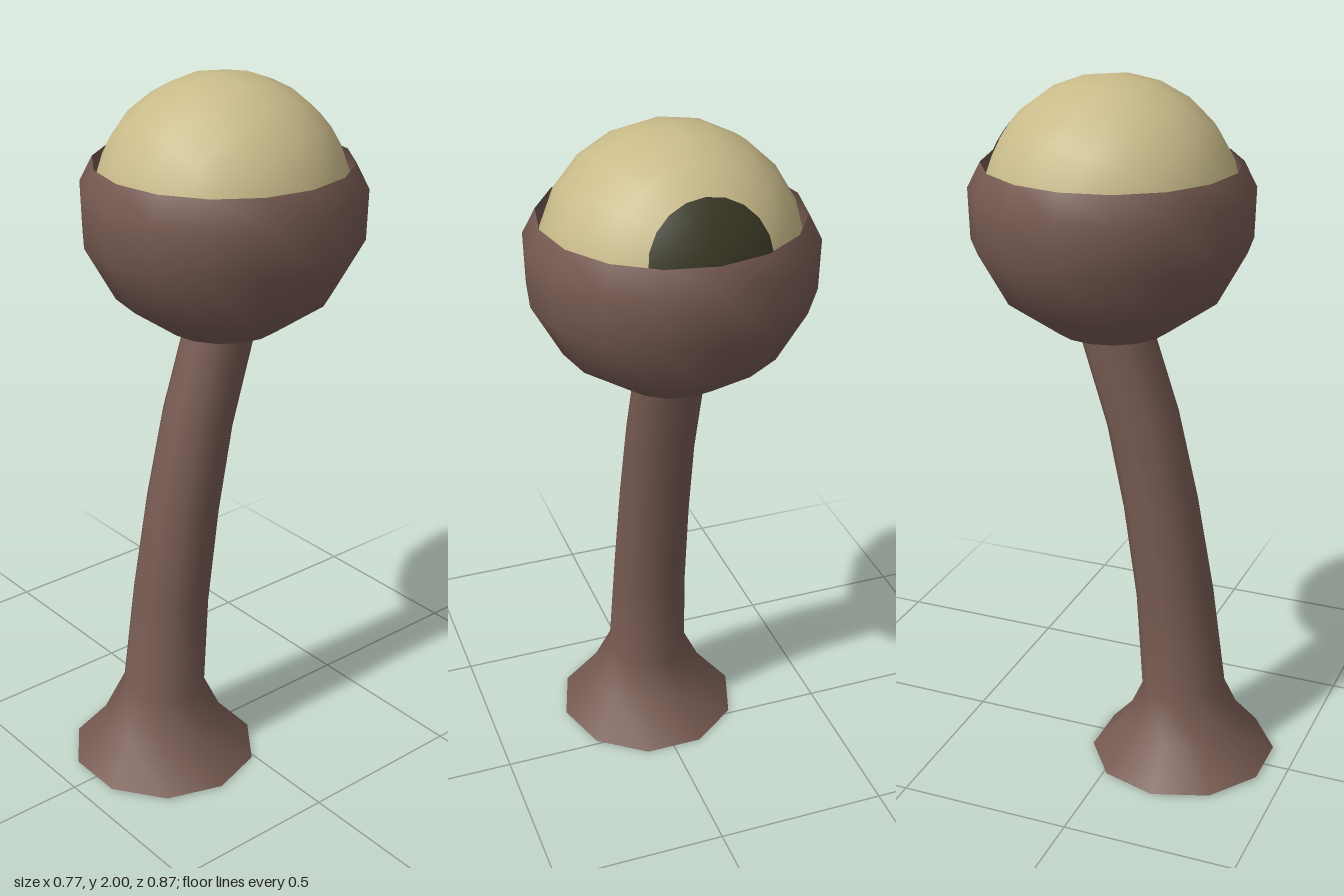
import * as THREE from 'three';
import { mergeVertices } from 'three/addons/utils/BufferGeometryUtils.js';

const skin = new THREE.MeshStandardMaterial({ color: 0x765a51, side: THREE.DoubleSide });
skin.name = 'brownSkin';
const eyeTan = new THREE.MeshStandardMaterial({ color: 0xc9bb8a });
eyeTan.name = 'paleTan';
const dark = new THREE.MeshStandardMaterial({ color: 0x383724 });
dark.name = 'darkPupil';

const HEAD_Z = -0.053;

function part(name, geometry, material) {
  const mesh = new THREE.Mesh(geometry, material);
  mesh.name = name;
  return mesh;
}

// Bent, flared, hollow stalk: each ring is [height, centre z, radius]
function stalkGeometry() {
  const rings = [
    [0.005, 0.17, 0.27], [0.11, 0.174, 0.178], [0.23, 0.168, 0.121], [0.52, 0.138, 0.111],
    [0.8, 0.092, 0.105], [1.05, 0.037, 0.1], [1.3, -0.043, 0.097], [1.37, -0.06, 0.096],
  ];
  const sides = 10;
  const g = new THREE.LatheGeometry(rings.map(([y, , r]) => new THREE.Vector2(r, y)), sides, Math.PI / sides);
  const p = g.attributes.position;
  for (let i = 0; i < p.count; i++) {
    const k = i % rings.length;
    const a = rings[Math.max(k - 1, 0)], b = rings[Math.min(k + 1, rings.length - 1)];
    const lean = k === 0 ? -0.015 : (b[1] - a[1]) / (b[0] - a[0]);
    // tilt the ring square to the bend, then shift it along z
    p.setY(i, p.getY(i) - lean * p.getZ(i));
    p.setZ(i, p.getZ(i) + rings[k][1]);
  }
  g.deleteAttribute('uv');
  g.deleteAttribute('normal');
  const merged = mergeVertices(g, 1e-4);
  merged.computeVertexNormals();
  return merged;
}

export function createModel() {
  const model = new THREE.Group();
  model.name = 'eyeStalk';

  model.add(part('stalk', stalkGeometry(), skin));

  // Eyelid cup, open at the top and around the stalk
  const profile = [[0.16, 1.31], [0.3, 1.41], [0.382, 1.56], [0.386, 1.7], [0.35, 1.77]];
  const cup = part('eyelidCup', new THREE.LatheGeometry(profile.map(([r, y]) => new THREE.Vector2(r, y)), 16), skin);
  cup.position.z = HEAD_Z;
  model.add(cup);

  // Eyeball with its pole on the pupil, looking back and slightly up
  const eye = new THREE.Group();
  eye.name = 'eye';
  const split = THREE.MathUtils.degToRad(28);
  eye.add(part('eyeball', new THREE.SphereGeometry(0.347, 20, 10, 0, Math.PI * 2, split, Math.PI - split), eyeTan));
  eye.add(part('pupil', new THREE.SphereGeometry(0.347, 20, 3, 0, Math.PI * 2, 0, split), dark));
  eye.position.set(0, 1.654, HEAD_Z);
  eye.rotation.x = -THREE.MathUtils.degToRad(72);
  model.add(eye);

  return model;
}
